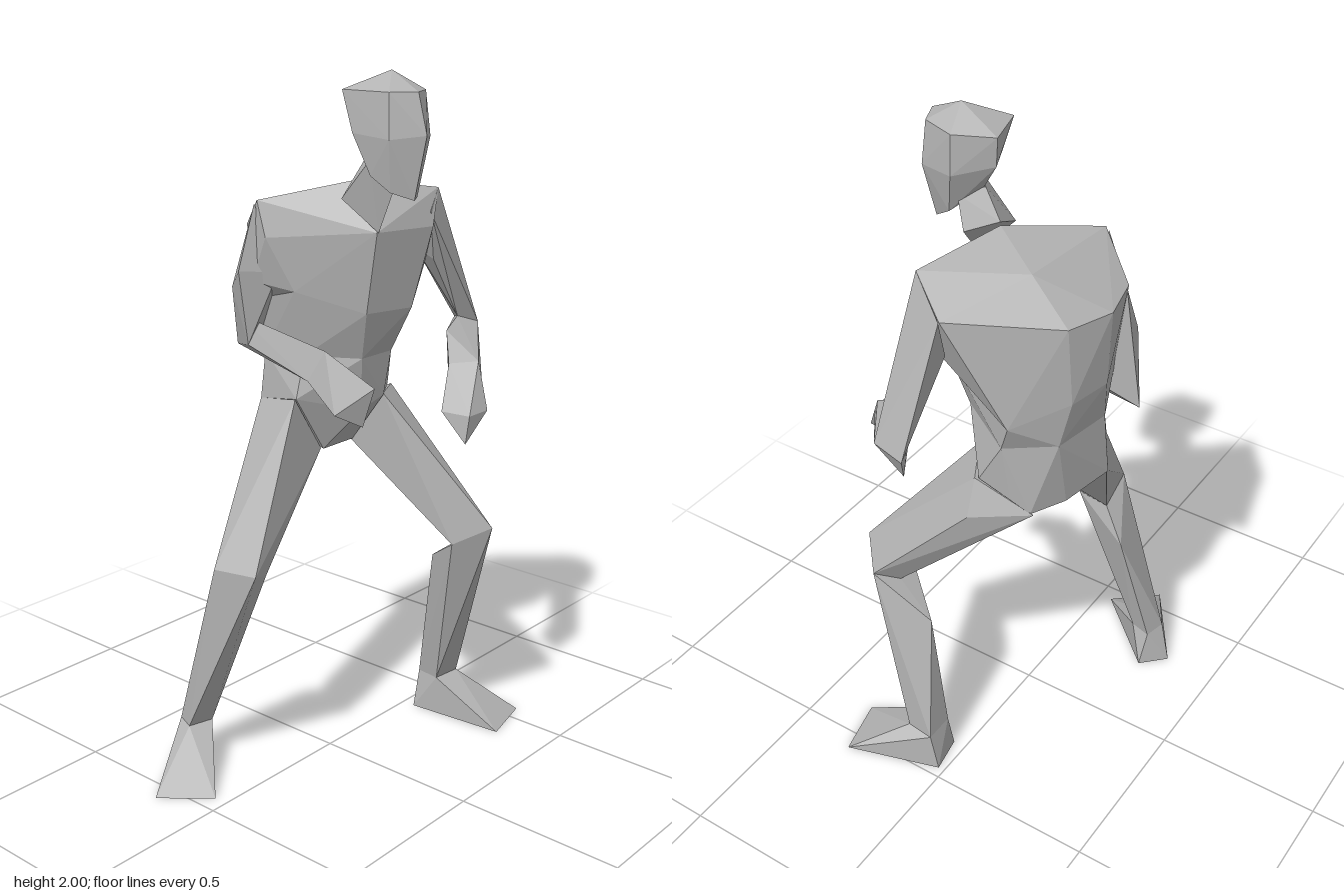
import * as THREE from 'three';
import { ConvexGeometry } from 'three/addons/geometries/ConvexGeometry.js';

// Faceted crouching figure: each body part is a convex block spanned by its corner points.
export function createModel() {
  const figure = new THREE.Group();
  figure.name = 'figure';
  const grey = new THREE.MeshStandardMaterial({ color: 0xb2b2b2 });
  grey.name = 'plain grey';

  const part = (name, ...corners) => {
    const points = corners.flat().map((c) => new THREE.Vector3(...c));
    const mesh = new THREE.Mesh(new ConvexGeometry(points), grey);
    mesh.name = name;
    figure.add(mesh);
  };

  // Head and neck
  part('head', [
    [0.08, 2.0, 0.145],
    [-0.01, 1.95, 0.05], [0.1, 1.94, 0.025], [0.165, 1.95, 0.12], [0.13, 1.95, 0.22], [0.06, 1.95, 0.25], [0.0, 1.95, 0.2],
    [-0.015, 1.84, 0.09], [0.1, 1.86, 0.03], [0.172, 1.84, 0.12], [0.14, 1.83, 0.23], [0.06, 1.84, 0.28], [-0.01, 1.83, 0.21],
    [0.0, 1.73, 0.14], [0.09, 1.78, 0.08], [0.14, 1.72, 0.15], [0.1, 1.67, 0.22], [0.05, 1.67, 0.25], [0.01, 1.69, 0.2],
  ]);
  part('neck', [
    [0.1, 1.71, 0.02], [0.0, 1.66, 0.04], [0.05, 1.57, 0.13], [0.15, 1.68, 0.1],
    [0.05, 1.69, 0.18], [0.01, 1.77, 0.13], [0.13, 1.77, 0.13], [0.09, 1.79, 0.07],
  ]);

  // Torso: chest and abdomen share the rib line, abdomen and pelvis share the waist
  const ribs = [
    [-0.07, 1.4, -0.07], [0.05, 1.34, 0.09], [0.2, 1.34, 0.13], [0.345, 1.28, -0.16],
    [0.22, 1.33, -0.275], [0.09, 1.33, -0.3], [-0.05, 1.35, -0.25],
  ];
  const waist = [
    [-0.03, 1.21, -0.07], [0.08, 1.2, 0.05], [0.21, 1.2, 0.05], [0.33, 1.2, -0.13],
    [0.24, 1.2, -0.25], [0.06, 1.2, -0.28], [-0.03, 1.2, -0.22],
  ];
  part('chest', ribs, [
    [-0.12, 1.65, -0.16], [-0.03, 1.56, -0.285], [0.1, 1.7, 0.02], [0.2, 1.66, -0.14],
    [0.34, 1.66, 0.11], [0.42, 1.595, -0.015], [0.22, 1.55, -0.26], [0.09, 1.55, -0.31],
    [-0.12, 1.55, -0.13], [0.05, 1.57, 0.125], [0.28, 1.56, 0.14], [0.34, 1.45, 0.07], [-0.11, 1.42, -0.19],
  ]);
  part('abdomen', ribs, waist);
  part('pelvis', waist, [
    [-0.065, 1.09, -0.07], [0.1, 1.04, 0.03], [0.19, 1.07, 0.04], [0.32, 1.06, -0.05], [0.32, 1.03, -0.15],
    [0.04, 0.92, -0.06], [0.17, 0.92, -0.06], [0.3, 0.99, -0.2],
    [0.2, 0.99, -0.25], [0.04, 1.0, -0.285], [-0.04, 1.06, -0.23],
  ]);

  // Arms
  const leftElbow = [[0.46, 1.265, 0.1], [0.554, 1.235, 0.02], [0.53, 1.24, 0.125], [0.51, 1.15, 0.05]];
  const leftWrist = [[0.26, 1.18, 0.22], [0.32, 1.185, 0.28], [0.31, 1.14, 0.3], [0.25, 1.13, 0.23]];
  part('leftUpperArm', leftElbow.slice(0, 3), [
    [0.34, 1.66, 0.11], [0.28, 1.6, 0.13], [0.43, 1.6, -0.02], [0.38, 1.47, 0.0], [0.35, 1.45, 0.09],
  ]);
  part('leftForearm', leftElbow, leftWrist, [[0.35, 1.15, 0.15], [0.34, 1.25, 0.15]]);
  part('leftHand', leftWrist, [
    [0.19, 1.06, 0.25], [0.19, 0.98, 0.335], [0.2, 1.06, 0.34], [0.285, 1.06, 0.34], [0.25, 1.02, 0.26],
  ]);
  const rightElbow = [[-0.02, 1.2, -0.34], [-0.05, 1.3, -0.31], [-0.1, 1.23, -0.22], [-0.01, 1.23, -0.25]];
  const rightWrist = [[-0.17, 1.285, 0.13], [-0.11, 1.25, 0.08], [-0.195, 1.2, 0.09], [-0.12, 1.17, 0.09]];
  part('rightUpperArm', rightElbow, [
    [-0.12, 1.64, -0.17], [-0.145, 1.45, -0.21], [-0.1, 1.39, -0.28], [-0.02, 1.56, -0.285], [-0.08, 1.45, -0.12],
  ]);
  part('rightForearm', rightElbow, rightWrist);
  part('rightHand', rightWrist, [
    [-0.19, 1.12, 0.18], [-0.12, 1.08, 0.22], [-0.12, 1.195, 0.26], [-0.075, 1.16, 0.17],
  ]);

  // Legs
  const leftKnee = [[0.33, 0.69, 0.34], [0.43, 0.65, 0.25], [0.27, 0.63, 0.24], [0.37, 0.61, 0.2]];
  const leftAnkle = [[0.37, 0.12, 0.12], [0.46, 0.12, 0.13], [0.47, 0.12, 0.045], [0.38, 0.12, 0.045]];
  part('leftThigh', leftKnee, [
    [0.2, 1.07, 0.03], [0.325, 1.06, -0.04], [0.365, 0.95, -0.04], [0.17, 0.92, -0.07], [0.3, 0.99, -0.21],
  ]);
  part('leftShin', leftKnee, leftAnkle, [[0.39, 0.52, 0.08]]);
  part('leftFoot', leftAnkle, [[0.39, 0, 0.34], [0.557, 0, 0.3], [0.36, 0, 0.04], [0.47, 0, 0.02]]);

  const rightKnee = [[-0.34, 0.66, 0.025], [-0.355, 0.65, -0.12], [-0.235, 0.61, -0.13], [-0.24, 0.62, -0.03]];
  const rightAnkle = [[-0.355, 0.12, -0.24], [-0.28, 0.12, -0.22], [-0.27, 0.11, -0.28], [-0.33, 0.12, -0.3]];
  part('rightThigh', rightKnee, [
    [-0.07, 1.09, -0.07], [0.04, 0.92, -0.07], [-0.04, 1.06, -0.23], [0.04, 1.0, -0.28],
  ]);
  part('rightShin', rightKnee, rightAnkle, [[-0.21, 0.5, -0.2]]);
  part('rightFoot', rightAnkle, [[-0.56, 0, -0.17], [-0.45, 0, -0.04], [-0.31, 0, -0.34], [-0.24, 0, -0.27]]);

  return figure;
}
